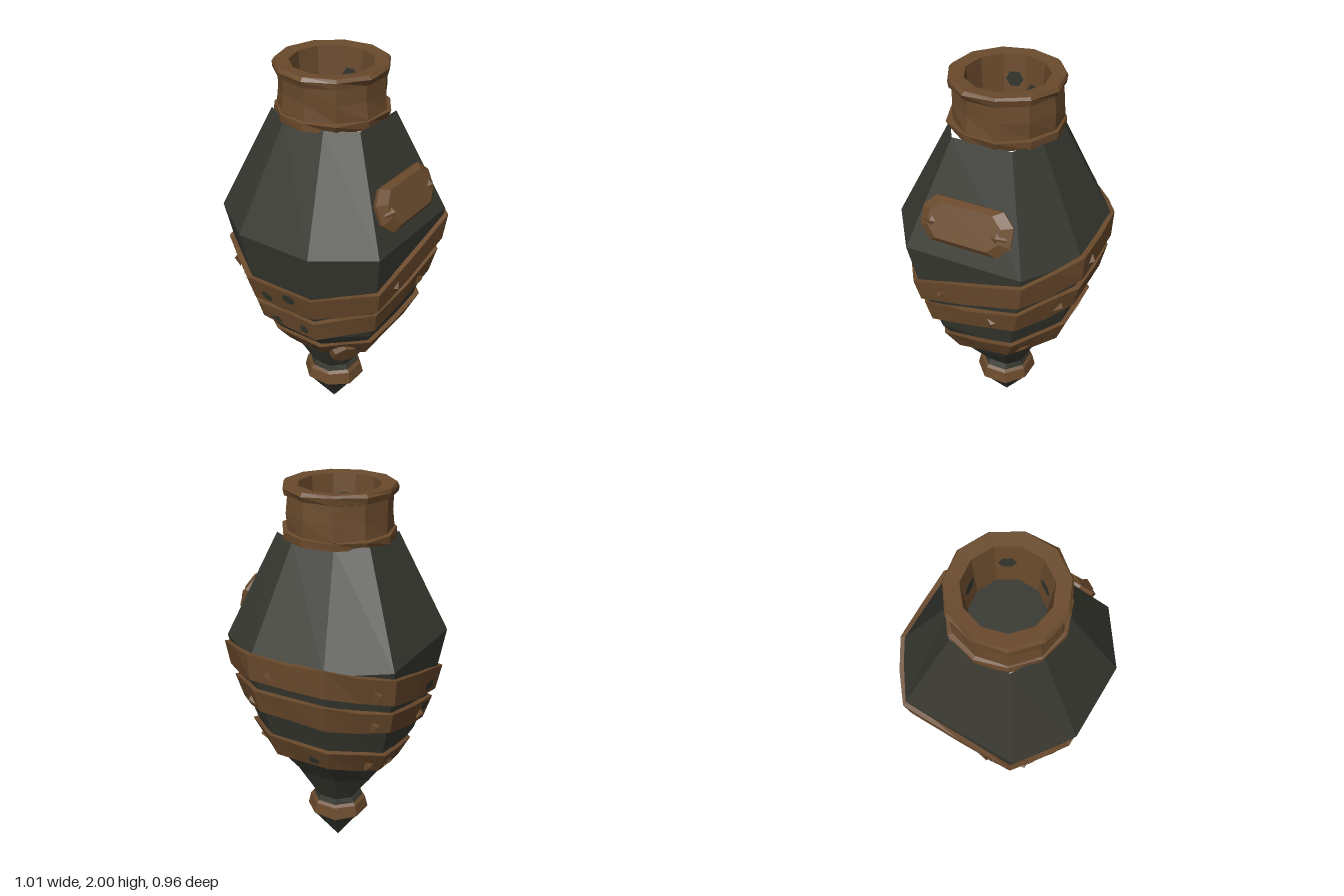
import * as THREE from 'three';

const mat = (name, color, extra = {}) => {
  const m = new THREE.MeshStandardMaterial({ color, flatShading: true, ...extra });
  m.name = name;
  return m;
};

// Small seeded generator for the hand-hammered look
let seed = 7;
const rnd = () => {
  seed = (seed * 16807) % 2147483647;
  return seed / 2147483647;
};
const jitter = (a) => (rnd() - 0.5) * 2 * a;

// Skin closed rings of points, listed upward along the outside
function loft(rings) {
  const n = rings[0].length, index = [];
  for (let r = 0; r < rings.length - 1; r++) {
    for (let i = 0; i < n; i++) {
      const a = r * n + i, b = r * n + (i + 1) % n;
      index.push(a, a + n, b + n, a, b + n, b);
    }
  }
  const g = new THREE.BufferGeometry().setFromPoints(rings.flat());
  g.setIndex(index);
  const out = g.toNonIndexed();
  out.computeVertexNormals();
  return out;
}

// Body rows: y, half width x, half width z, corner x, corner z
const ROWS = [
  [0, 0, 0, 0, 0],
  [0.2, 0.135, 0.14, 0.06, 0.06],
  [0.28, 0.12, 0.125, 0.05, 0.05],
  [0.31, 0.11, 0.11, 0.05, 0.05],
  [0.49, 0.2, 0.24, 0.1, 0.09],
  [0.7, 0.355, 0.355, 0.19, 0.15],
  [1.0, 0.44, 0.43, 0.26, 0.18],
  [1.24, 0.488, 0.465, 0.3, 0.2],
  [1.76, 0.235, 0.25, 0.15, 0.11],
];
const CX = -0.014;

function rowAt(y) {
  let k = 0;
  while (k < ROWS.length - 2 && ROWS[k + 1][0] < y) k++;
  const A = ROWS[k], B = ROWS[k + 1], t = (y - A[0]) / (B[0] - A[0]);
  return A.map((v, i) => v + (B[i] - v) * t);
}

// Point on the octagonal body: u counts corners 0..8, off pushes outward
function bodyPoint(u, y, off = 0) {
  const [, hx, hz, cx, cz] = rowAt(y);
  const c = [[hx, -cz], [hx, cz], [cx, hz], [-cx, hz], [-hx, cz], [-hx, -cz], [-cx, -hz], [cx, -hz]];
  const k = Math.floor(u) % 8, t = u - Math.floor(u), a = c[k], b = c[(k + 1) % 8];
  const x = a[0] + (b[0] - a[0]) * t, z = a[1] + (b[1] - a[1]) * t;
  const s = 1 + off / Math.max(Math.hypot(x, z), 0.001);
  return new THREE.Vector3(CX + x * s, y, z * s);
}

// Point on the tilted plane y = mid + slope * x, wrapped on the body
function tiltedPoint(u, mid, slope, off) {
  let y = mid;
  for (let i = 0; i < 12; i++) y = mid + slope * bodyPoint(u, y).x;
  return bodyPoint(u, y, off);
}

export function createModel() {
  seed = 7;
  const iron = mat('dark iron', 0x383831);
  const bronze = mat('rusty bronze', 0x6a4a2c);
  const worn = mat('worn patch', 0x34372f, { side: THREE.DoubleSide });
  const model = new THREE.Group();
  const add = (name, geo, material, parent = model) => {
    const m = new THREE.Mesh(geo, material);
    m.name = name;
    parent.add(m);
    return m;
  };

  // Faceted vessel ending in a point
  const corners = [0, 1, 2, 3, 4, 5, 6, 7];
  add('body', loft(ROWS.map((r) => corners.map((u) => bodyPoint(u, r[0])))), iron);

  // Collar round the pointed foot
  add('footCollar', loft([[0.195, 0], [0.205, 0.012], [0.265, 0.012], [0.28, 0]].map(
    ([y, off]) => corners.map((u) => bodyPoint(u, y + (off ? jitter(0.004) : 0), off)))), bronze);

  // Three tilted bands: centre height, slope, half height
  const bands = [[1.055, 0.3, 0.068], [0.885, 0.28, 0.06], [0.635, 0.26, 0.06]];
  const N = 16;
  bands.forEach(([mid, slope, h], bi) => {
    const band = new THREE.Group();
    band.name = ['upperBand', 'middleBand', 'lowerBand'][bi];
    model.add(band);
    const ring = (dy, off, j) => Array.from({ length: N }, (_, i) =>
      tiltedPoint(i * 8 / N, mid + dy + jitter(j), slope, off + jitter(j * 0.4)));
    const low = ring(-h, 0.028, 0.01), high = ring(h, 0.026, 0.01);
    add('strap', loft([ring(-h, -0.02, 0), low, high, ring(h, -0.02, 0)]), bronze, band);

    // Point on the strap face between columns i and i + 1
    const face = (i, s, t) => low[i].clone().lerp(low[(i + 1) % N], s)
      .lerp(high[i].clone().lerp(high[(i + 1) % N], s), t);

    // Raised chips
    for (const i of [1 + bi, 5 - bi, 11 + bi, 14]) {
      const p = face(i, 0.5, 0.4);
      const chip = add('chip', new THREE.ConeGeometry(0.045, 0.03, 3), bronze, band);
      const out = new THREE.Vector3(p.x - CX, 0, p.z).normalize();
      chip.position.copy(p).addScaledVector(out, 0.006);
      chip.quaternion.setFromUnitVectors(new THREE.Vector3(0, 1, 0), out);
    }

    // Worn patches, mostly on the back and right
    const spots = bi === 2 ? [0, 6, 7, 8, 9, 11, 12, 13] : [8, 9, 10, 11, 12];
    for (const i of spots) {
      const cs = 0.3 + rnd() * 0.4, ct = 0.25 + rnd() * 0.5;
      const rim = Array.from({ length: 7 }, (_, k) => {
        const a = k / 7 * Math.PI * 2, r = 0.13 + rnd() * 0.12;
        const p = face(i, cs + Math.cos(a) * r, ct + Math.sin(a) * r);
        const out = new THREE.Vector3(p.x - CX, 0, p.z).normalize();
        return p.addScaledVector(out, 0.005);
      });
      const g = new THREE.BufferGeometry().setFromPoints(rim);
      g.setIndex([0, 1, 2, 0, 2, 3, 0, 3, 4, 0, 4, 5, 0, 5, 6]);
      g.computeVertexNormals();
      add('wornPatch', g, worn, band);
    }
  });
  // Rounded strap end overlapping the lower band
  const strapEnd = add('lowerBandEnd', new THREE.CylinderGeometry(0.07, 0.085, 0.04, 7), bronze);
  strapEnd.position.set(-0.215, 0.545, 0.215);
  strapEnd.quaternion.setFromUnitVectors(new THREE.Vector3(0, 1, 0), new THREE.Vector3(-0.55, -0.45, 0.7).normalize());

  // Neck: hollow sleeve with two lips
  const circle = (y, r, j = 0) => Array.from({ length: 11 }, (_, i) => {
    const a = (i + 0.3) / 11 * Math.PI * 2, q = r + jitter(j);
    return new THREE.Vector3(-0.012 + Math.cos(a) * q, y + jitter(j * 0.5), -0.01 + Math.sin(a) * q);
  });
  add('lowerLip', loft([circle(1.735, 0.22), circle(1.745, 0.275, 0.01), circle(1.785, 0.28, 0.01), circle(1.795, 0.23)]), bronze);
  add('neckSleeve', loft([circle(1.76, 0.25), circle(1.79, 0.262, 0.008), circle(1.87, 0.258, 0.008), circle(1.96, 0.255)]), bronze);
  add('upperLip', loft([circle(1.945, 0.24), circle(1.955, 0.272, 0.008), circle(1.985, 0.28, 0.008),
    circle(2.0, 0.268), circle(1.995, 0.2), circle(1.72, 0.175)]), bronze);
  add('neckFloor', loft([circle(1.73, 0.185), circle(1.73, 0)]), iron);

  // Worn patches on the inside of the neck
  for (const [i, y] of [[1, 1.88], [3, 1.84], [4, 1.87], [7, 1.88], [8, 1.83], [10, 1.86]]) {
    const a = (i + 0.8) / 11 * Math.PI * 2;
    const p = add('neckWornPatch', new THREE.CircleGeometry(0.042, 6), worn);
    p.position.set(-0.012 + Math.cos(a) * 0.176, y, -0.01 + Math.sin(a) * 0.176);
    p.rotation.y = -a - Math.PI / 2;
  }

  // Sloping plaque on the front shoulder
  const plaque = new THREE.Group();
  plaque.name = 'plaque';
  plaque.position.set(-0.015, 1.41, 0.385);
  plaque.rotation.x = -0.4;
  model.add(plaque);
  const outline = (w, h, c, z) => [[w, -h + c], [w, h - c], [w - c, h], [-w + c, h], [-w, h - c],
    [-w, -h + c], [-w + c, -h], [w - c, -h]].map(([x, y]) => new THREE.Vector3(x, y, z));
  add('plate', loft([outline(0.215, 0.1, 0.06, -0.02), outline(0.23, 0.108, 0.06, 0.03),
    outline(0.18, 0.085, 0.05, 0.06), outline(0, 0, 0, 0.06)].map((r) => r.reverse())), bronze, plaque);
  for (const s of [-1, 1]) {
    const rivet = add('rivet', new THREE.ConeGeometry(0.05, 0.03, 4), bronze, plaque);
    rivet.rotation.x = Math.PI / 2;
    rivet.position.set(s * 0.165, -0.01, 0.06);
  }
  return model;
}
